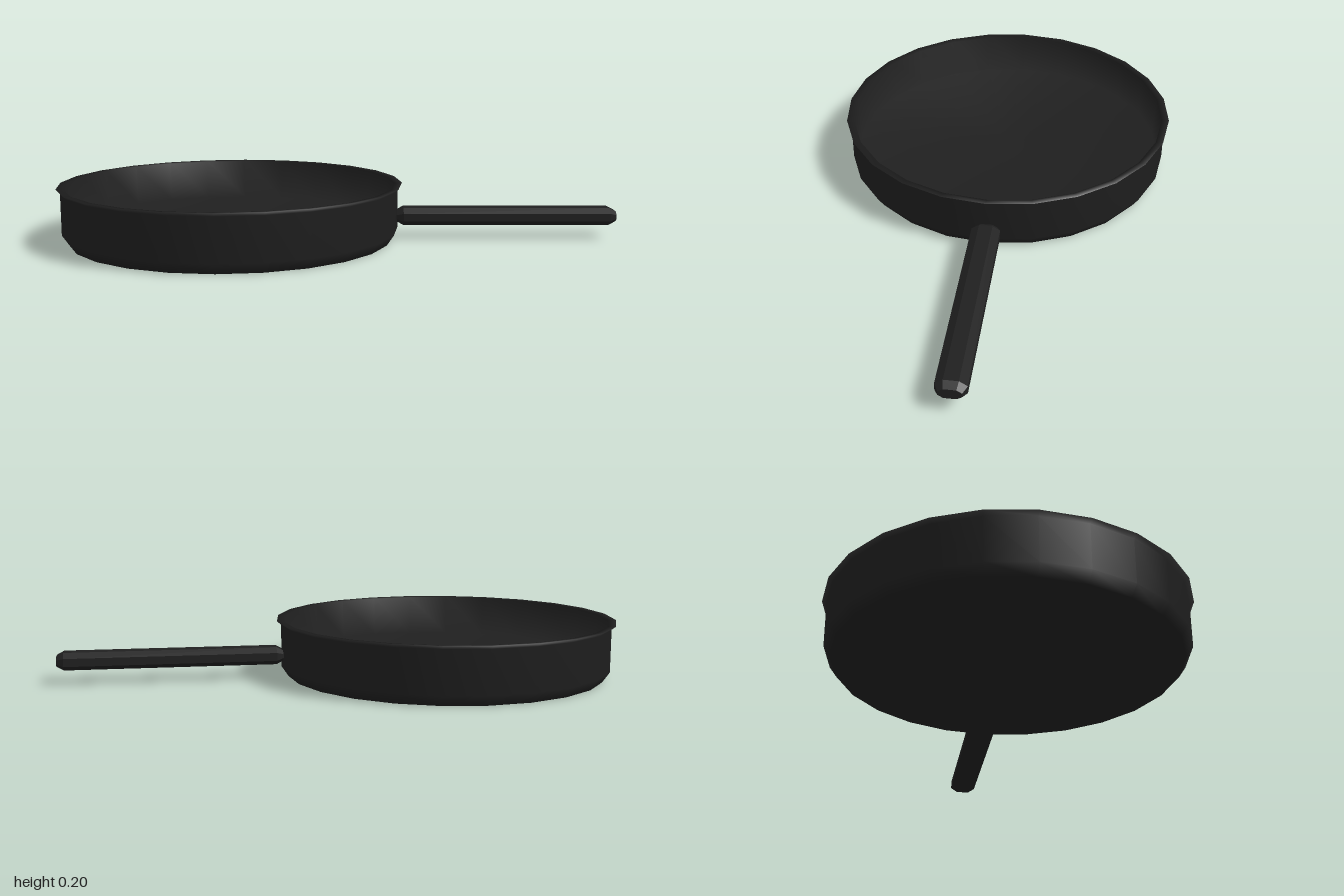
import * as THREE from 'three';

export function createModel() {
  const group = new THREE.Group();
  const iron = new THREE.MeshStandardMaterial({ color: 0x1f1f1f });
  iron.name = 'cast iron black';

  const add = (name, geometry, x, y) => {
    const mesh = new THREE.Mesh(geometry, iron);
    mesh.name = name;
    mesh.position.set(x, y, 0);
    group.add(mesh);
  };

  // Pan: base, chamfer, outer wall, flared flat rim, inner wall, cooking floor
  const profile = [
    [0, 0], [0.575, 0], [0.6, 0.037], [0.6, 0.188], [0.615, 0.2],
    [0.588, 0.198], [0.58, 0.05], [0, 0.05],
  ].map(([r, y]) => new THREE.Vector2(r, y));
  add('pan', new THREE.LatheGeometry(profile, 24), -0.385, 0);

  // Handle: eight-sided bar with bevelled ends and crisp facets
  const section = new THREE.Shape([
    [0.037, -0.007], [0.037, 0.007], [0.02, 0.018], [-0.02, 0.018],
    [-0.037, 0.007], [-0.037, -0.007], [-0.02, -0.018], [0.02, -0.018],
  ].map(([x, y]) => new THREE.Vector2(x, y)));
  const bevel = 0.025, start = 0.21, end = 1;
  const bar = new THREE.ExtrudeGeometry(section, {
    depth: end - start - 2 * bevel,
    bevelThickness: bevel, bevelSize: 0.013, bevelSegments: 1,
  });
  bar.rotateY(Math.PI / 2);
  add('handle', bar, start + bevel, 0.08);

  return group;
}
